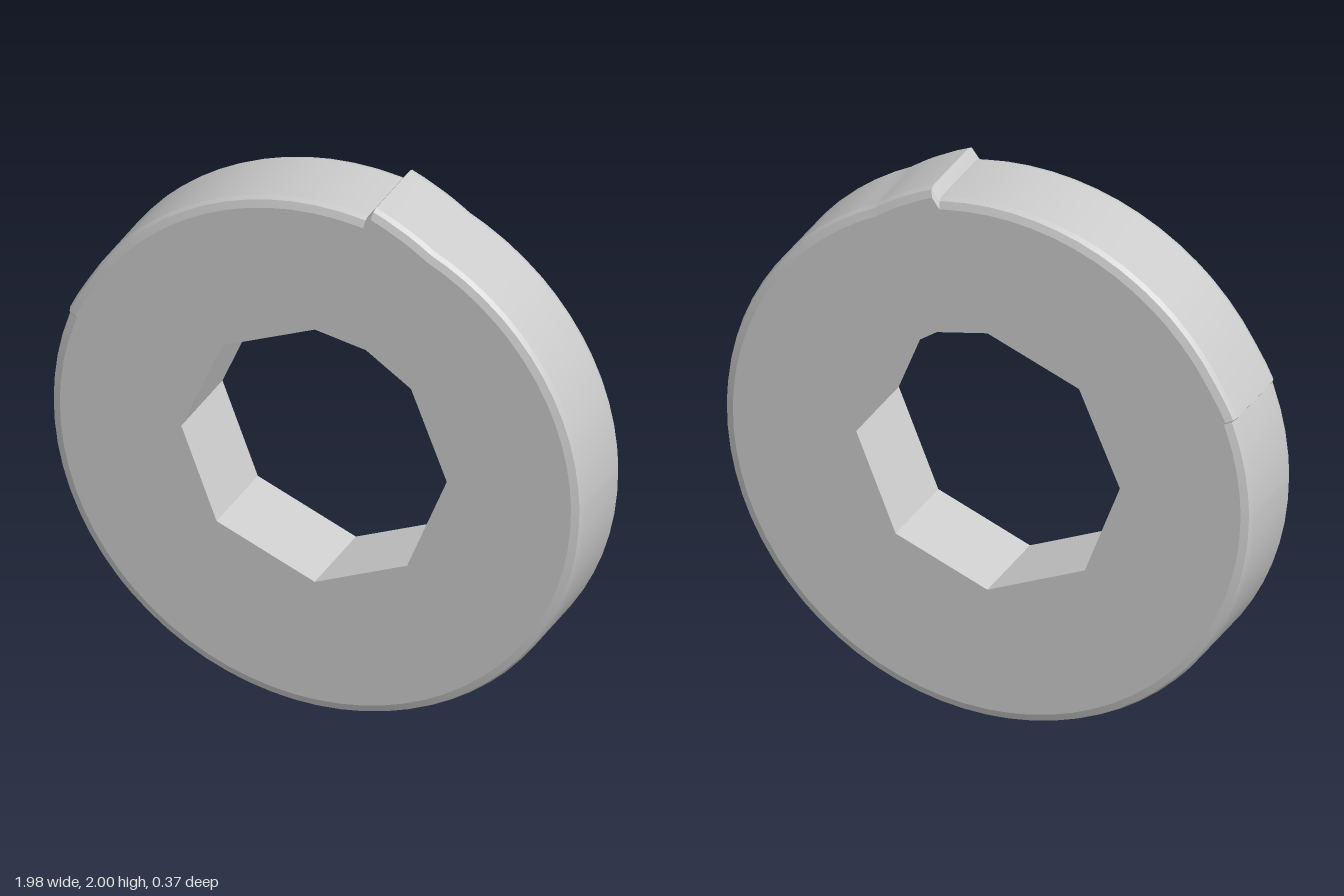
import * as THREE from 'three';
import { toCreasedNormals } from 'three/addons/utils/BufferGeometryUtils.js';

const CY = 0.992;       // height of the ring's centre
const R = 0.988;        // outer radius
const HALF = 0.175;     // half thickness
const LEAN = 0.011;     // slight forward lean of the disc

// corners of the faceted hole, counter-clockwise, relative to the centre
const hole = [
  [0.49, 0.01], [0.358, 0.345], [0.19, 0.46], [0, 0.498], [-0.345, 0.36],
  [-0.5, 0.01], [-0.37, -0.335], [-0.005, -0.492], [0.34, -0.352],
];
const TAU = Math.PI * 2;
const deg = (d) => d * Math.PI / 180;
const angleOf = ([x, y]) => (Math.atan2(y, x) + TAU) % TAU;

// distance from the centre to the hole's wall along an angle
function holeRadius(t) {
  const dx = Math.cos(t), dy = Math.sin(t);
  let best = Infinity;
  hole.forEach((a, i) => {
    const b = hole[(i + 1) % hole.length];
    const ex = b[0] - a[0], ey = b[1] - a[1];
    const r = (a[0] * ey - a[1] * ex) / (dx * ey - dy * ex);
    if (r > 0) best = Math.min(best, r);
  });
  return best;
}

// round rim with a small raised lip near the top and a tiny step on the side
function rimRadius(t) {
  const d = t * 180 / Math.PI;
  if (d >= 64 && d <= 77.8) return R + 0.044 * (d - 64) / 13.8;
  if (d > 77.8 && d < 79) return R + 0.044 * (79 - d) / 1.2;
  if (d > 150 && d < 158.6) return R + 0.008 * (d - 150) / 8.6;
  return R;
}

function ringGeometry() {
  const angles = [64, 77.8, 79, 158.5, 158.8].map(deg).concat(hole.map(angleOf));
  for (let d = 0; d < 360; d += 5) angles.push(deg(d));
  angles.sort((a, b) => a - b);

  // one cross-section per angle: front face, bevelled rim, back face
  const sections = angles.map((t) => {
    const inner = holeRadius(t), outer = rimRadius(t);
    return [
      [inner, HALF], [outer - 0.035, HALF], [outer - 0.008, HALF - 0.01], [outer, HALF - 0.03],
      [outer, 0.03 - HALF], [outer - 0.008, 0.01 - HALF], [outer - 0.035, -HALF], [inner, -HALF],
    ].map(([r, z]) => {
      const y = r * Math.sin(t);
      return [r * Math.cos(t) - 0.002, y + CY, z + LEAN * y];
    });
  });

  const pos = [];
  sections.forEach((s, i) => {
    const n = sections[(i + 1) % sections.length];
    s.forEach((a, j) => {
      const k = (j + 1) % s.length;
      pos.push(...a, ...s[k], ...n[k], ...a, ...n[k], ...n[j]);
    });
  });
  const geo = new THREE.BufferGeometry();
  geo.setAttribute('position', new THREE.Float32BufferAttribute(pos, 3));
  return toCreasedNormals(geo, 0.35);
}

export function createModel() {
  const group = new THREE.Group();
  group.name = 'ring';
  const body = new THREE.Mesh(ringGeometry(), new THREE.MeshStandardMaterial({ color: 0xcccccc }));
  body.name = 'ringBody';
  group.add(body);
  return group;
}
